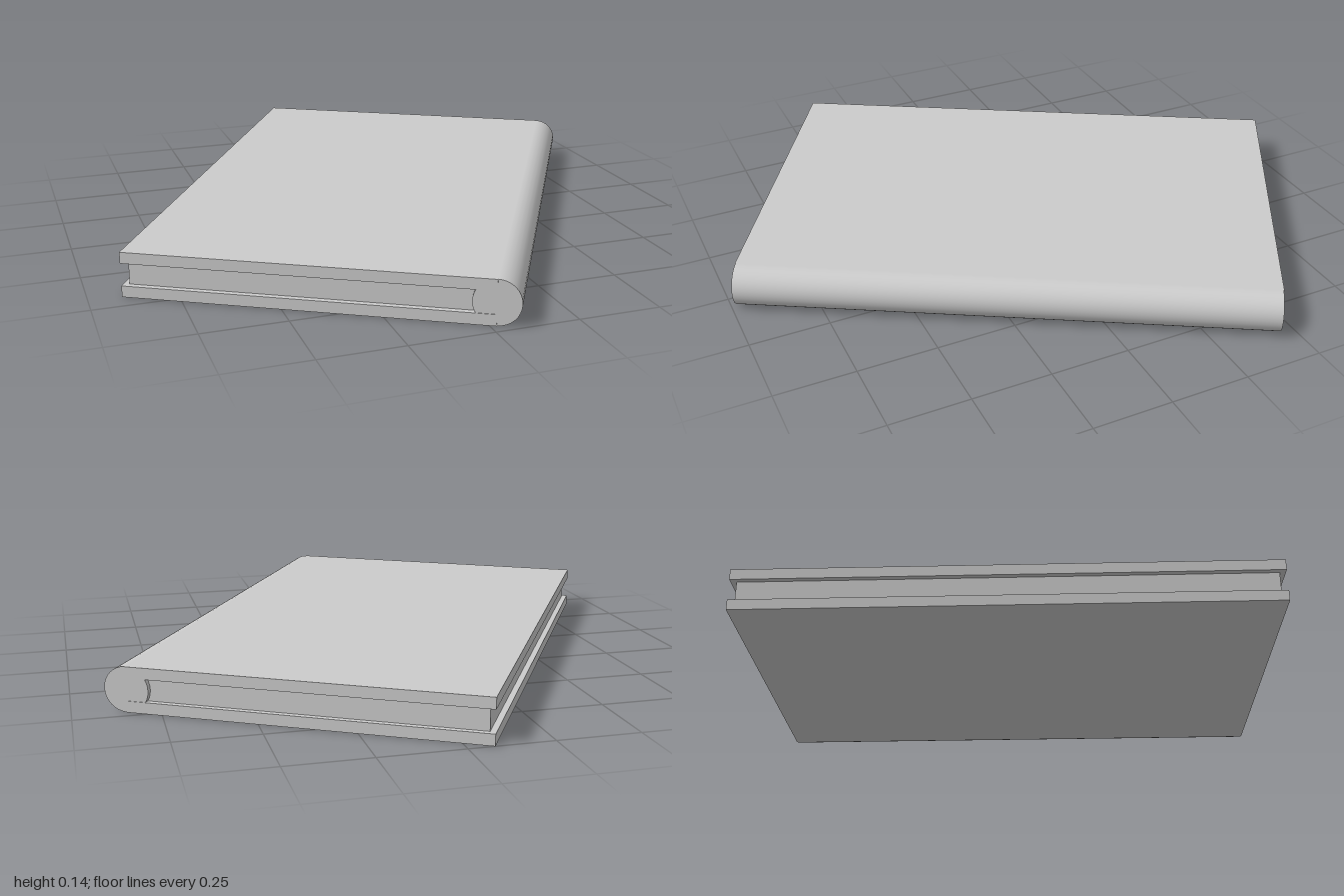
import * as THREE from 'three';

export function createModel() {
  const model = new THREE.Group();
  const book = new THREE.Group();
  book.name = 'book';
  model.add(book);

  const material = new THREE.MeshStandardMaterial({ color: 0xcccccc });
  const height = 0.136, board = 0.034, length = 1.657;
  const radius = height / 2;
  const foreEdge = -0.566;            // open edge of the covers
  const hinge = 0.566 - radius;       // spine axis, where the covers end
  const inset = 0.018;                // pages sit back from the covers

  const add = (name, geometry, x, y) => {
    const mesh = new THREE.Mesh(geometry, material);
    mesh.name = name;
    mesh.position.set(x, y, 0);
    book.add(mesh);
    return mesh;
  };
  const slab = (name, x0, x1, y0, y1, depth) =>
    add(name, new THREE.BoxGeometry(x1 - x0, y1 - y0, depth), (x0 + x1) / 2, (y0 + y1) / 2);

  // Covers
  slab('bottomCover', foreEdge, hinge, 0, board, length);
  slab('topCover', foreEdge, hinge, height - board, height, length);

  // Page block
  slab('pages', foreEdge + inset, hinge, board, height - board, length - 2 * inset);

  // Rounded spine
  const spine = new THREE.CylinderGeometry(radius, radius, length - 0.004, 32);
  spine.rotateX(Math.PI / 2);
  add('spine', spine, hinge, radius);

  // The book lies turned on the ground
  book.rotation.y = -Math.PI / 6;
  return model;
}
